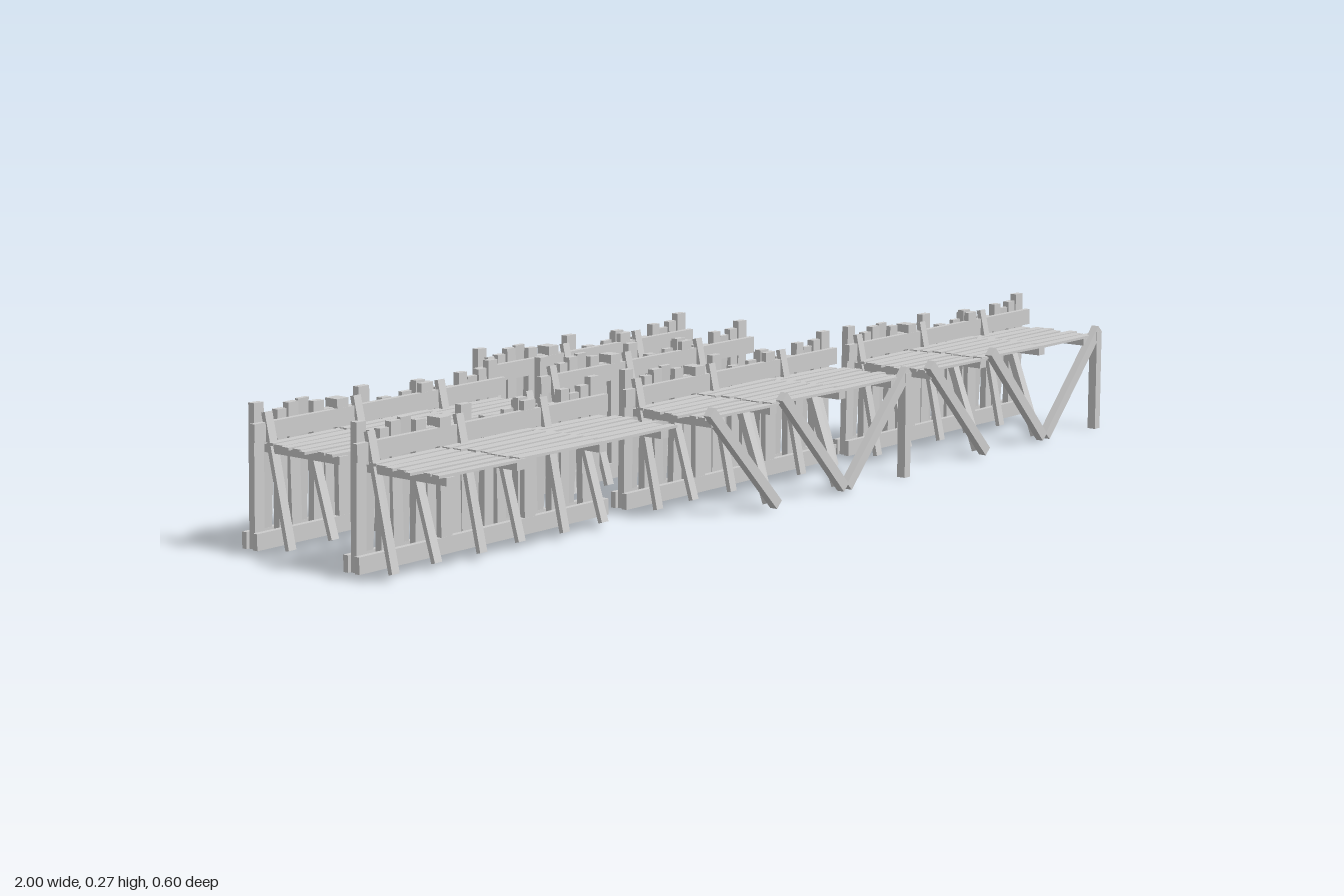
import * as THREE from 'three';

const material = new THREE.MeshStandardMaterial({ color: 0xcccccc, flatShading: true });

// Small seeded generator for hand-built irregularity
function seeded(seed) {
  let s = seed;
  return (a, b) => {
    s = (s * 16807) % 2147483647;
    return a + (b - a) * (s / 2147483647);
  };
}

function box(parent, name, w, h, d, x, y, z) {
  const mesh = new THREE.Mesh(new THREE.BoxGeometry(w, h, d), material);
  mesh.name = name;
  mesh.position.set(x, y, z);
  parent.add(mesh);
  return mesh;
}

// Square timber running from one point to another
function beam(parent, name, from, to, w, d) {
  const a = new THREE.Vector3(...from), b = new THREE.Vector3(...to);
  const dir = b.clone().sub(a);
  const mid = a.clone().add(b).multiplyScalar(0.5);
  const mesh = box(parent, name, w, dir.length(), d, mid.x, mid.y, mid.z);
  mesh.quaternion.setFromUnitVectors(new THREE.Vector3(0, 1, 0), dir.normalize());
  return mesh;
}

// Palisade centred on local x = 0, z = 0, braces towards +z
function makeFence() {
  const fence = new THREE.Group();
  fence.name = 'fence';
  const rnd = seeded(4217);

  // Upright planks, every third one leaning out at the foot
  const count = 22;
  for (let i = 0; i < count; i++) {
    const x = -0.297 + (0.594 * i) / (count - 1);
    const end = i === 0 || i === count - 1;
    const top = end ? 0.267 : rnd(0.222, 0.267);
    const foot = end ? 0.01 : rnd(0.01, 0.025);
    const lean = !end && i % 3 === 1;
    beam(fence, 'fencePlank', [x + rnd(-0.004, 0.004), foot, lean ? -0.014 : 0],
      [x + rnd(-0.004, 0.004), top, 0], rnd(0.02, 0.028), lean ? 0.008 : 0.014);
  }

  // Rails
  box(fence, 'topRail', 0.635, 0.032, 0.011, 0, 0.217, 0.013);
  box(fence, 'bottomRail', 0.635, 0.03, 0.011, 0, 0.025, 0.013);
  box(fence, 'backRail', 0.635, 0.03, 0.011, 0, 0.025, -0.014);
  box(fence, 'middleRail', 0.19, 0.026, 0.01, -0.005, 0.157, 0.013);

  // Two stout posts
  for (const x of [-0.105, 0.107]) box(fence, 'fencePost', 0.028, 0.24, 0.03, x, 0.13, 0.003);

  // Raking braces on the inner side
  for (let i = 0; i < 6; i++) {
    const x = -0.282 + 0.107 * i;
    beam(fence, 'brace', [x, 0.012, rnd(0.056, 0.068)],
      [x, i % 2 ? 0.17 : 0.25, 0.012], 0.018, 0.009);
  }
  return fence;
}

// Walkway of loose boards on joists
function makePlatform() {
  const platform = new THREE.Group();
  platform.name = 'platform';
  const rnd = seeded(913);
  for (const x of [-0.275, -0.105, 0.105, 0.27]) {
    box(platform, 'joist', 0.02, 0.014, 0.185, x, 0.186, 0.1);
  }
  const edges = [-0.3, -0.105, 0.103, 0.297];
  for (let s = 0; s < 3; s++) {
    const mid = (edges[s] + edges[s + 1]) / 2;
    const length = edges[s + 1] - edges[s];
    for (let i = 0; i < 7; i++) {
      const board = box(platform, 'deckBoard', length + rnd(-0.008, 0.022), 0.005,
        rnd(0.016, 0.023), mid + rnd(-0.006, 0.006), 0.196 + 0.002 * (s % 2), 0.027 + 0.0262 * i);
      board.rotation.y = rnd(-0.035, 0.035);
    }
  }
  return platform;
}

// Struts carrying the front edge of a walkway
function makeSupports() {
  const supports = new THREE.Group();
  supports.name = 'supports';
  const z = 0.196;
  beam(supports, 'frontPost', [0.3, 0, z], [0.3, 0.205, z], 0.018, 0.018);
  beam(supports, 'frontStrut', [-0.1, 0.01, z], [-0.295, 0.21, z], 0.02, 0.016);
  beam(supports, 'frontStrut', [0.105, 0.01, z], [-0.085, 0.21, z], 0.02, 0.016);
  beam(supports, 'frontStrut', [0.115, 0.01, z], [0.305, 0.21, z], 0.02, 0.016);
  for (const x of [-0.1, 0.11]) {
    beam(supports, 'backStrut', [x, 0.01, 0.178], [x, 0.185, 0.112], 0.018, 0.014);
  }
  return supports;
}

export function createModel() {
  const model = new THREE.Group();
  model.name = 'woodenBarricades';
  // [x, z, has platform, has supports]
  const sections = [
    [-0.68, 0.091, true, false],
    [0.005, 0.091, true, true],
    [0.68, 0.091, true, true],
    [-0.664, -0.175, true, false],
    [0.01, -0.122, false, false],
    [0.01, -0.281, false, false],
  ];
  for (const [x, z, platform, supports] of sections) {
    const section = new THREE.Group();
    section.name = 'barricadeSection';
    section.position.set(x, 0, z);
    section.add(makeFence());
    if (platform) section.add(makePlatform());
    if (supports) section.add(makeSupports());
    model.add(section);
  }
  return model;
}
